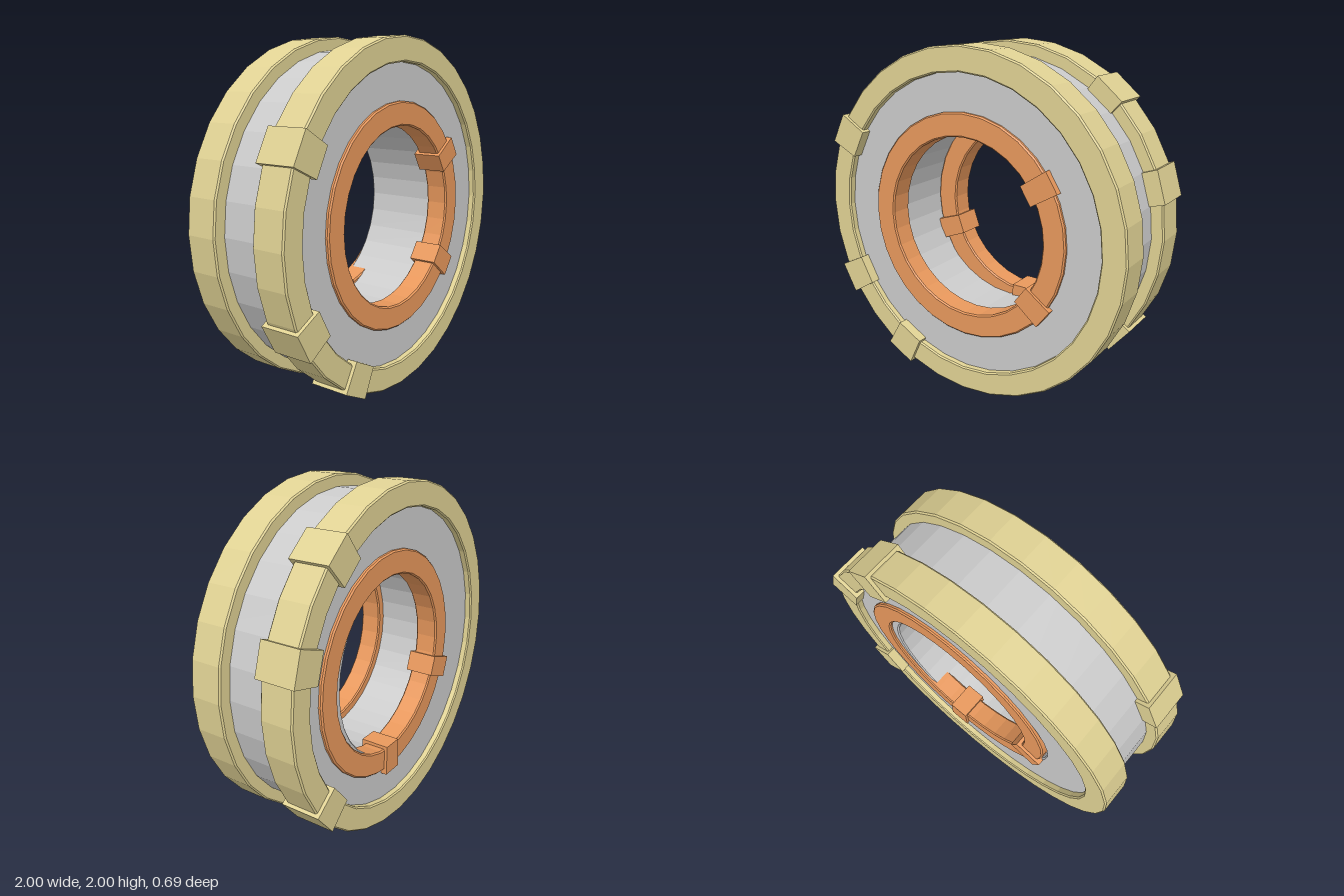
import * as THREE from 'three';

const material = (color) => new THREE.MeshStandardMaterial({ color, flatShading: true });

// Rectangular-section ring around the z axis, from z0 to z1
function ring(name, outer, inner, z0, z1, mat, bevel = 0.008) {
  const b = bevel;
  const profile = [
    [outer - b, z0], [outer, z0 + b], [outer, z1 - b], [outer - b, z1],
    [inner + b, z1], [inner, z1 - b], [inner, z0 + b], [inner + b, z0], [outer - b, z0],
  ].map(([r, z]) => new THREE.Vector2(r, z));
  const geometry = new THREE.LatheGeometry(profile, 32).rotateX(Math.PI / 2);
  const mesh = new THREE.Mesh(geometry, mat);
  mesh.name = name;
  return mesh;
}

// Block clamped over a ring at a given angle; slightly tapered towards the axis
function clip(name, degrees, r0, r1, width, z0, z1, mat) {
  const geometry = new THREE.BoxGeometry(r1 - r0, width, z1 - z0);
  const p = geometry.attributes.position;
  for (let i = 0; i < p.count; i++) {
    if (p.getX(i) < 0) p.setY(i, p.getY(i) * 0.92);
  }
  const angle = THREE.MathUtils.degToRad(degrees);
  const mesh = new THREE.Mesh(geometry, mat);
  mesh.position.set(Math.cos(angle) * (r0 + r1) / 2, Math.sin(angle) * (r0 + r1) / 2, (z0 + z1) / 2);
  mesh.rotation.z = angle;
  mesh.name = name;
  return mesh;
}

export function createModel() {
  const model = new THREE.Group();
  model.name = 'bandedRing';
  const grey = material(0xcccccc);
  const straw = material(0xe0d294);
  const copper = material(0xe8985c);

  const wheel = new THREE.Group();
  wheel.name = 'wheel';
  wheel.position.y = 1;
  model.add(wheel);

  // Thick grey core
  wheel.add(ring('core', 0.93, 0.565, -0.285, 0.285, grey));

  // One outer hoop and one inner hoop on each face, each held by clips
  const sides = [
    { label: 'front', sign: 1, shift: 0, outerClips: [152, 209, 242], innerClips: [32, -37] },
    { label: 'back', sign: -1, shift: 0.1, outerClips: [50, 17, -39], innerClips: [-160, -90] },
  ];
  for (const { label, sign, shift, outerClips, innerClips } of sides) {
    const span = (a, b) => (sign > 0 ? [a, b] : [-b, -a]);

    const outer = new THREE.Group();
    outer.name = label + 'OuterBand';
    outer.add(ring(label + 'OuterHoop', 1, 0.86, ...span(0.13, 0.325), straw));
    outerClips.forEach((a) => outer.add(
      clip(label + 'OuterClip', a, 0.835, 1.015, 0.19, ...span(0.11, 0.345), straw)));
    wheel.add(outer);

    // The back inner hoop sits off centre
    const inner = new THREE.Group();
    inner.name = label + 'InnerBand';
    inner.position.x = shift;
    inner.add(ring(label + 'InnerHoop', 0.65, 0.515, ...span(0.17, 0.305), copper));
    innerClips.forEach((a) => inner.add(
      clip(label + 'InnerClip', a, 0.49, 0.67, 0.13, ...span(0.15, 0.322), copper)));
    wheel.add(inner);
  }
  return model;
}
